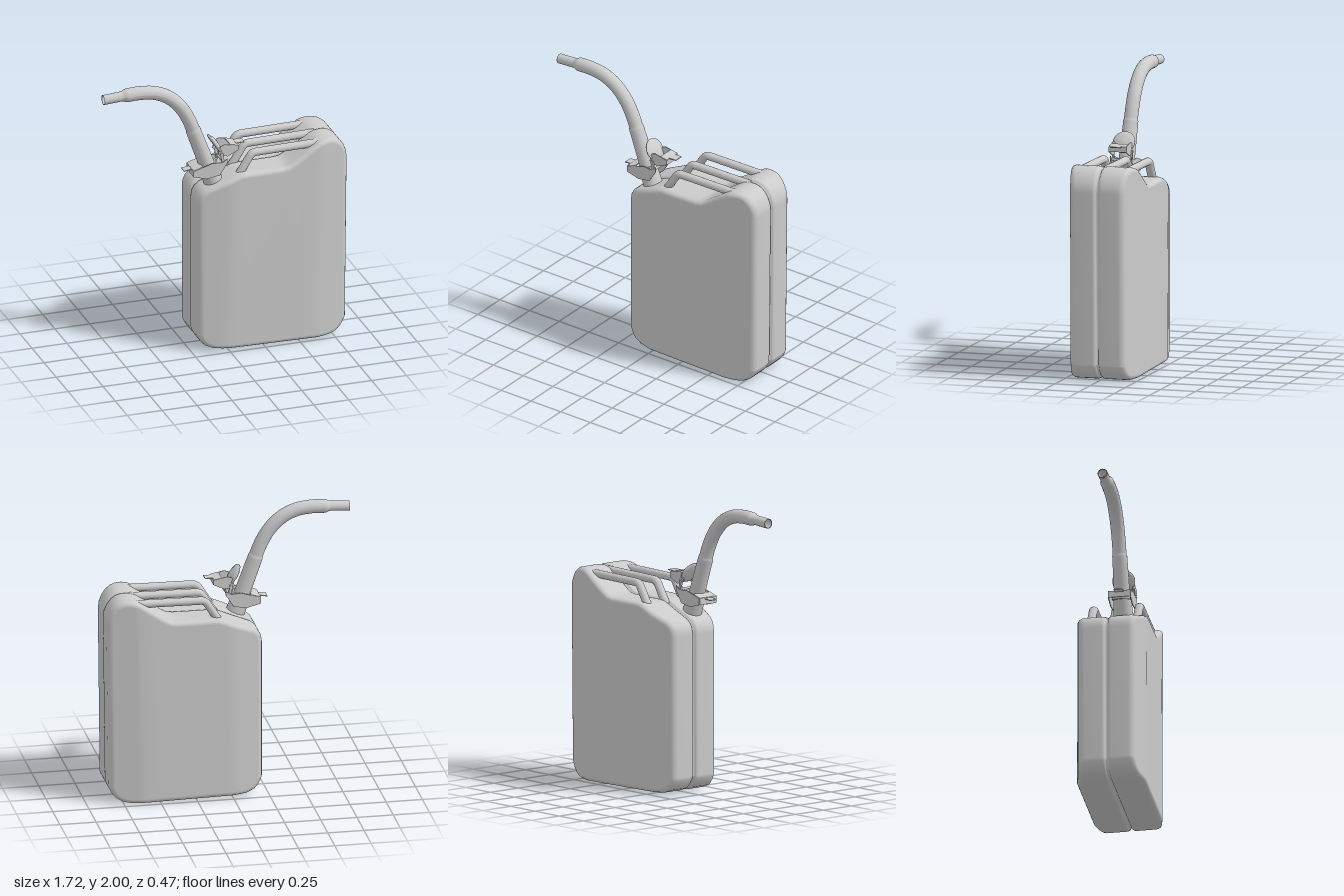
import * as THREE from 'three';

const mat = new THREE.MeshStandardMaterial({ color: 0xcccccc, side: THREE.DoubleSide });
const V = (x, y, z = 0) => new THREE.Vector3(x, y, z);
const SPOUT_Z = 0.095;

function add(group, name, geometry) {
  const mesh = new THREE.Mesh(geometry, mat);
  mesh.name = name;
  group.add(mesh);
  return mesh;
}

// Upper and lower silhouette of the tank, left to right
const TOP = [[-0.21, 1.1], [-0.203, 1.145], [-0.185, 1.178], [-0.155, 1.203], [-0.1, 1.226], [-0.04, 1.25],
  [0, 1.267], [0.05, 1.289], [0.09, 1.302], [0.13, 1.305], [0.25, 1.305], [0.38, 1.306], [0.42, 1.312],
  [0.46, 1.333], [0.52, 1.373], [0.58, 1.415], [0.63, 1.447], [0.66, 1.459], [0.69, 1.465], [0.73, 1.465],
  [0.765, 1.456], [0.8, 1.432], [0.83, 1.393], [0.85, 1.345], [0.855, 1.3]];
const BOTTOM = [[-0.21, 0.13], [-0.2, 0.1], [-0.18, 0.066], [-0.15, 0.038], [-0.11, 0.022], [-0.05, 0.018],
  [0.7, 0.005], [0.75, 0.011], [0.79, 0.027], [0.825, 0.06], [0.845, 0.095], [0.855, 0.12]];

function lerpTable(table, x) {
  for (let i = 1; i < table.length; i++) {
    const [x0, y0] = table[i - 1], [x1, y1] = table[i];
    if (x <= x1) return y0 + (y1 - y0) * (x - x0) / (x1 - x0);
  }
  return table[table.length - 1][1];
}

// Half thickness: flat middle, tapered towards both narrow sides
const depth = x => lerpTable([[-0.3, 0.165], [0, 0.237], [0.63, 0.237], [0.95, 0.168]], x);

// Tank: inset outlines stacked in z, with a groove in the middle and rounded rims
function tankGeometry() {
  const n = TOP.length;
  const loop = [...TOP, ...TOP.map(([x]) => [x, lerpTable(BOTTOM, x)]).reverse()];
  const m = loop.length;
  const normals = loop.map((p, i) => {
    const a = loop[(i + m - 1) % m], b = loop[(i + 1) % m];
    return new THREE.Vector2(a[1] - b[1], b[0] - a[0]).normalize();
  });
  // [distance from seam or rim, inset, measured from rim?]
  const half = [[0.006, 0.02, false], [0.011, 0.009, false], [0.02, 0.002, false], [0.032, 0, false],
    [0.036, 0, true], [0.02, 0.004, true], [0.008, 0.012, true], [0.002, 0.022, true], [0, 0.034, true]];
  const layers = [...half.map(l => [-1, ...l]).reverse(), ...half.map(l => [1, ...l])];
  const pos = [], idx = [];
  for (const [side, d, inset, fromRim] of layers) {
    loop.forEach(([x, y], i) => {
      const px = x - normals[i].x * inset, py = y - normals[i].y * inset;
      const slant = 0.005 * (py - 0.7) * Math.max(0, x) / 0.4;
      pos.push(px + slant, py, side * (fromRim ? depth(px) - d : d));
    });
  }
  for (let k = 0; k < layers.length - 1; k++) {
    for (let j = 0; j < m; j++) {
      const a = k * m + j, c = k * m + (j + 1) % m;
      idx.push(a, a + m, c, c, a + m, c + m);
    }
  }
  // Broad faces, closed by vertical strips
  const front = (layers.length - 1) * m;
  for (let i = 0; i < n - 1; i++) {
    const t = i, u = i + 1, b = m - 1 - i, c = m - 2 - i;
    idx.push(front + t, front + b, front + u, front + u, front + b, front + c);
    idx.push(t, u, b, u, c, b);
  }
  const g = new THREE.BufferGeometry();
  g.setAttribute('position', new THREE.Float32BufferAttribute(pos, 3));
  g.setIndex(idx);
  g.computeVertexNormals();
  return g;
}

// Tube whose radius follows a rule along its path
function sweep(curve, segments, sides, radiusAt) {
  const g = new THREE.TubeGeometry(curve, segments, 1, sides, false);
  const p = g.attributes.position, v = V(0, 0);
  for (let i = 0; i < p.count; i++) {
    const c = curve.getPointAt(Math.floor(i / (sides + 1)) / segments);
    v.fromBufferAttribute(p, i).sub(c).multiplyScalar(radiusAt(c)).add(c);
    p.setXYZ(i, v.x, v.y, v.z);
  }
  g.computeVertexNormals();
  return g;
}

function plate(points, thickness) {
  const shape = new THREE.Shape(points.map(p => new THREE.Vector2(...p)));
  return new THREE.ExtrudeGeometry(shape, { depth: thickness, bevelEnabled: false }).translate(0, 0, -thickness / 2);
}

// Thin sheet spanning z between two points of the side profile
function sheet(group, name, a, b, width, thickness = 0.006) {
  const dx = b[0] - a[0], dy = b[1] - a[1];
  const mesh = add(group, name, new THREE.BoxGeometry(Math.hypot(dx, dy), thickness, width));
  mesh.position.set((a[0] + b[0]) / 2, (a[1] + b[1]) / 2, 0);
  mesh.rotation.z = Math.atan2(dy, dx);
}

export function createModel() {
  const model = new THREE.Group();
  model.name = 'fuelCan';
  add(model, 'tank', tankGeometry());

  // Three parallel carrying bars
  const path = new THREE.CurvePath();
  path.add(new THREE.LineCurve3(V(0.085, 1.268), V(0.17, 1.402)));
  path.add(new THREE.QuadraticBezierCurve3(V(0.17, 1.402), V(0.185, 1.424), V(0.215, 1.424)));
  path.add(new THREE.LineCurve3(V(0.215, 1.424), V(0.68, 1.43)));
  for (const z of [-0.158, 0, 0.158]) {
    const bar = add(model, 'handleBar', new THREE.TubeGeometry(path, 48, 0.027, 16, false));
    bar.position.z = z;
    bar.scale.z = 1.1;
  }

  // Neck and spout share one tilted axis
  const spout = new THREE.Group();
  spout.name = 'spout';
  spout.position.z = SPOUT_Z;
  model.add(spout);
  const tilt = 0.35;
  const neck = add(spout, 'neck', new THREE.CylinderGeometry(0.062, 0.067, 0.15, 32));
  neck.position.set(-0.088, 1.268, 0);
  neck.rotation.z = tilt;
  const collar = add(spout, 'neckCollar', new THREE.CylinderGeometry(0.07, 0.07, 0.02, 32));
  collar.position.set(-0.118, 1.35, 0);
  collar.rotation.z = tilt;

  const bend = new THREE.CatmullRomCurve3([V(-0.08, 1.25), V(-0.14, 1.415), V(-0.2, 1.58), V(-0.245, 1.7),
    V(-0.305, 1.805), V(-0.39, 1.89), V(-0.49, 1.938), V(-0.6, 1.953), V(-0.7, 1.95), V(-0.78, 1.945), V(-0.86, 1.94)]);
  const radiusAt = p => p.y < 1.625 ? 0.056 - 0.005 * (p.y - 1.25) / 0.375
    : lerpTable([[-0.725, 0.034], [-0.695, 0.047], [0, 0.047]], Math.max(p.x, -0.725));
  add(spout, 'pourTube', sweep(bend, 140, 24, radiusAt));
  const lip = add(spout, 'tubeLip', new THREE.RingGeometry(0.029, 0.034, 24));
  lip.position.set(-0.86, 1.94, 0);
  lip.rotation.y = -Math.PI / 2;

  // Lower clamp hugging the neck
  const clamp = new THREE.Group();
  clamp.name = 'neckClamp';
  spout.add(clamp);
  const clampSide = [[-0.235, 1.35], [-0.235, 1.305], [-0.14, 1.28], [-0.05, 1.295], [0.005, 1.38], [0.005, 1.41],
    [-0.03, 1.385], [-0.1, 1.39]];
  for (const s of [-1, 1]) add(clamp, 'clampSide', plate(clampSide, 0.006)).position.z = s * 0.075;
  sheet(clamp, 'clampFront', [-0.235, 1.305], [-0.235, 1.35], 0.15);
  sheet(clamp, 'clampLip', [-0.29, 1.338], [-0.235, 1.345], 0.06);
  sheet(clamp, 'clampBrow', [-0.235, 1.35], [-0.17, 1.37], 0.15);

  // Upper latch: lever sides, bridge, thumb tab and sealing cap
  const latch = new THREE.Group();
  latch.name = 'latch';
  spout.add(latch);
  const leverSide = [[-0.06, 1.44], [-0.04, 1.5], [-0.01, 1.51], [0.085, 1.49], [0.085, 1.455], [0.01, 1.42], [-0.03, 1.43]];
  for (const s of [-1, 1]) {
    add(latch, 'leverSide', plate(leverSide, 0.006)).position.z = s * 0.06;
    sheet(latch, 'hingeArm', [-0.02, 1.36], [-0.035, 1.45], 0.012, 0.02);
    latch.children.at(-1).position.z = s * 0.066;
  }
  sheet(latch, 'leverBridge', [0.03, 1.5], [0.085, 1.49], 0.12);
  sheet(latch, 'leverEnd', [0.085, 1.455], [0.085, 1.49], 0.12);
  sheet(latch, 'thumbTab', [0.08, 1.493], [0.14, 1.495], 0.065);
  const pin = add(latch, 'hingePin', new THREE.CylinderGeometry(0.009, 0.009, 0.15, 12));
  pin.position.set(-0.02, 1.385, 0);
  pin.rotation.x = Math.PI / 2;

  const capProfile = [[0, -0.012], [0.066, -0.012], [0.078, -0.006], [0.078, 0.004], [0.06, 0.008], [0.045, 0.018], [0, 0.022]];
  const cap = add(latch, 'cap', new THREE.LatheGeometry(capProfile.map(p => new THREE.Vector2(...p)), 32));
  cap.position.set(-0.06, 1.5, 0);
  cap.rotation.z = -1.0;
  return model;
}
